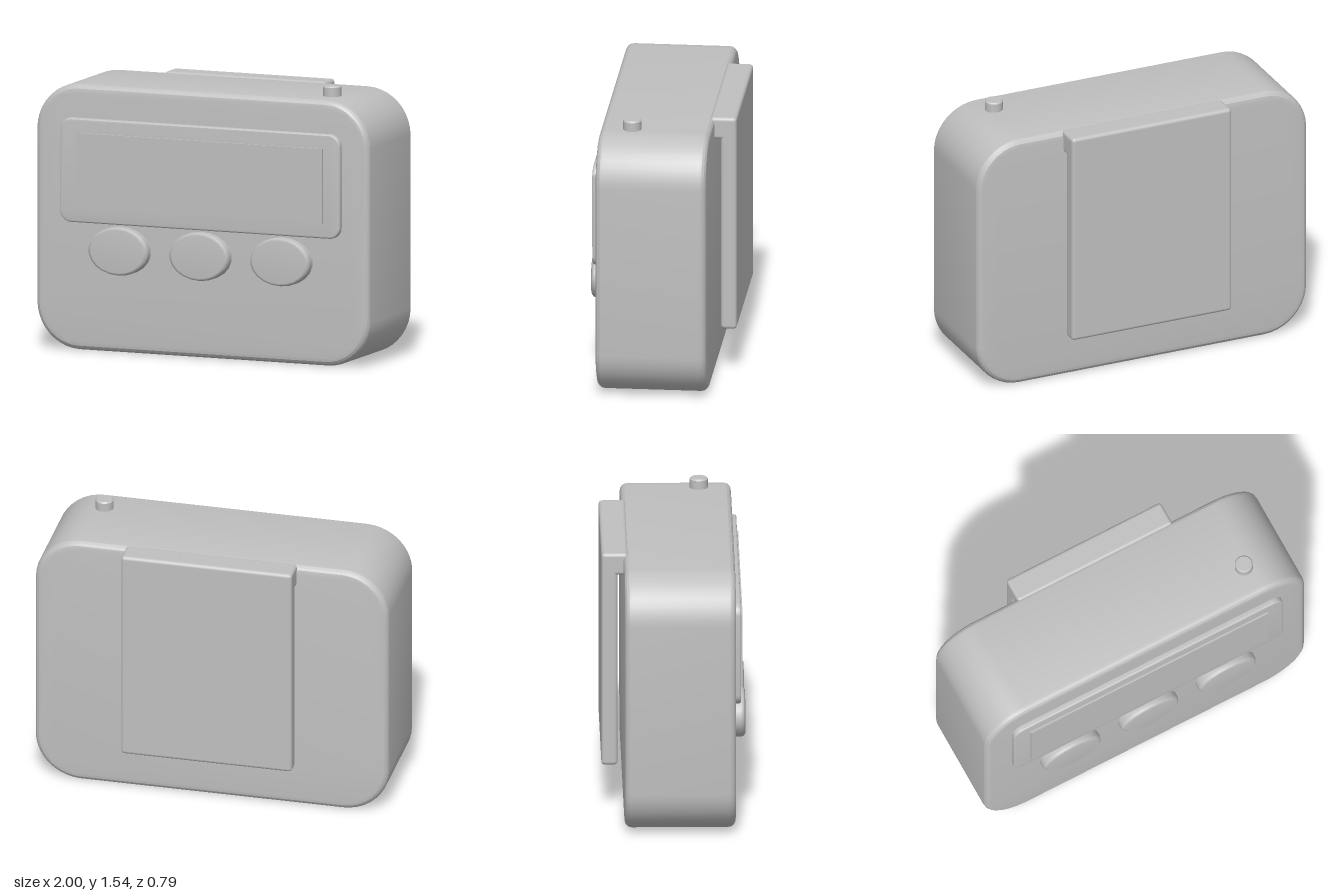
import * as THREE from 'three';
import { RoundedBoxGeometry } from 'three/addons/geometries/RoundedBoxGeometry.js';
import { toCreasedNormals } from 'three/addons/utils/BufferGeometryUtils.js';

// Rounded rectangle extruded from z0 to z1 with softened front and back rims
function roundedSlab(width, height, radius, z0, z1, bevel, segments) {
  const w = width / 2 - bevel, h = height / 2 - bevel, r = radius - bevel;
  const shape = new THREE.Shape();
  shape.absarc(w - r, h - r, r, 0, Math.PI / 2);
  shape.absarc(r - w, h - r, r, Math.PI / 2, Math.PI);
  shape.absarc(r - w, r - h, r, Math.PI, Math.PI * 1.5);
  shape.absarc(w - r, r - h, r, Math.PI * 1.5, Math.PI * 2);
  const geometry = new THREE.ExtrudeGeometry(shape, {
    depth: z1 - z0 - 2 * bevel, curveSegments: segments,
    bevelEnabled: true, bevelSize: bevel, bevelThickness: bevel, bevelSegments: 4,
  });
  geometry.translate(0, 0, z0 + bevel);
  return toCreasedNormals(geometry, 0.3);
}

export function createModel() {
  const model = new THREE.Group();
  model.name = 'pager';
  const grey = new THREE.MeshStandardMaterial({ color: 0xc0c0c0 });
  grey.name = 'grey plastic';

  function add(name, geometry, x, y, z) {
    const mesh = new THREE.Mesh(geometry, grey);
    mesh.name = name;
    mesh.position.set(x, y, z);
    model.add(mesh);
    return mesh;
  }

  // Case
  add('body', roundedSlab(2, 1.48, 0.26, -0.273, 0.338, 0.04, 5), 0, 0.74, 0);

  // Screen surround and display
  add('screenFrame', roundedSlab(1.68, 0.58, 0.065, 0.3, 0.368, 0.012, 3), 0, 1.005, 0);
  add('display', new THREE.BoxGeometry(1.48, 0.415, 0.03), 0, 1.007, 0.363);

  // Three oval buttons with softly domed faces
  const profile = [[1, 0], [1, 0.06], [0.97, 0.075], [0.88, 0.085], [0, 0.085]]
    .map(([x, y]) => new THREE.Vector2(x, y));
  const button = new THREE.LatheGeometry(profile, 22);
  button.rotateX(Math.PI / 2);
  for (const x of [-0.485, 0, 0.485]) {
    add('button', button, x, 0.57, 0.31).scale.set(0.18, 0.135, 1);
  }

  // Small knob on top
  const knob = [[0, 0], [0.05, 0], [0.05, 0.067], [0.043, 0.075], [0, 0.075]]
    .map(([x, y]) => new THREE.Vector2(x, y));
  add('topKnob', toCreasedNormals(new THREE.LatheGeometry(knob, 20), 0.5), 0.705, 1.462, 0.16);

  // Belt clip: hooked top and hanging plate
  add('clipBridge', new RoundedBoxGeometry(0.966, 0.125, 0.147, 3, 0.02), 0, 1.422, -0.3215);
  add('clipPlate', new RoundedBoxGeometry(0.966, 1.17, 0.088, 3, 0.02), 0, 0.845, -0.351);

  return model;
}
